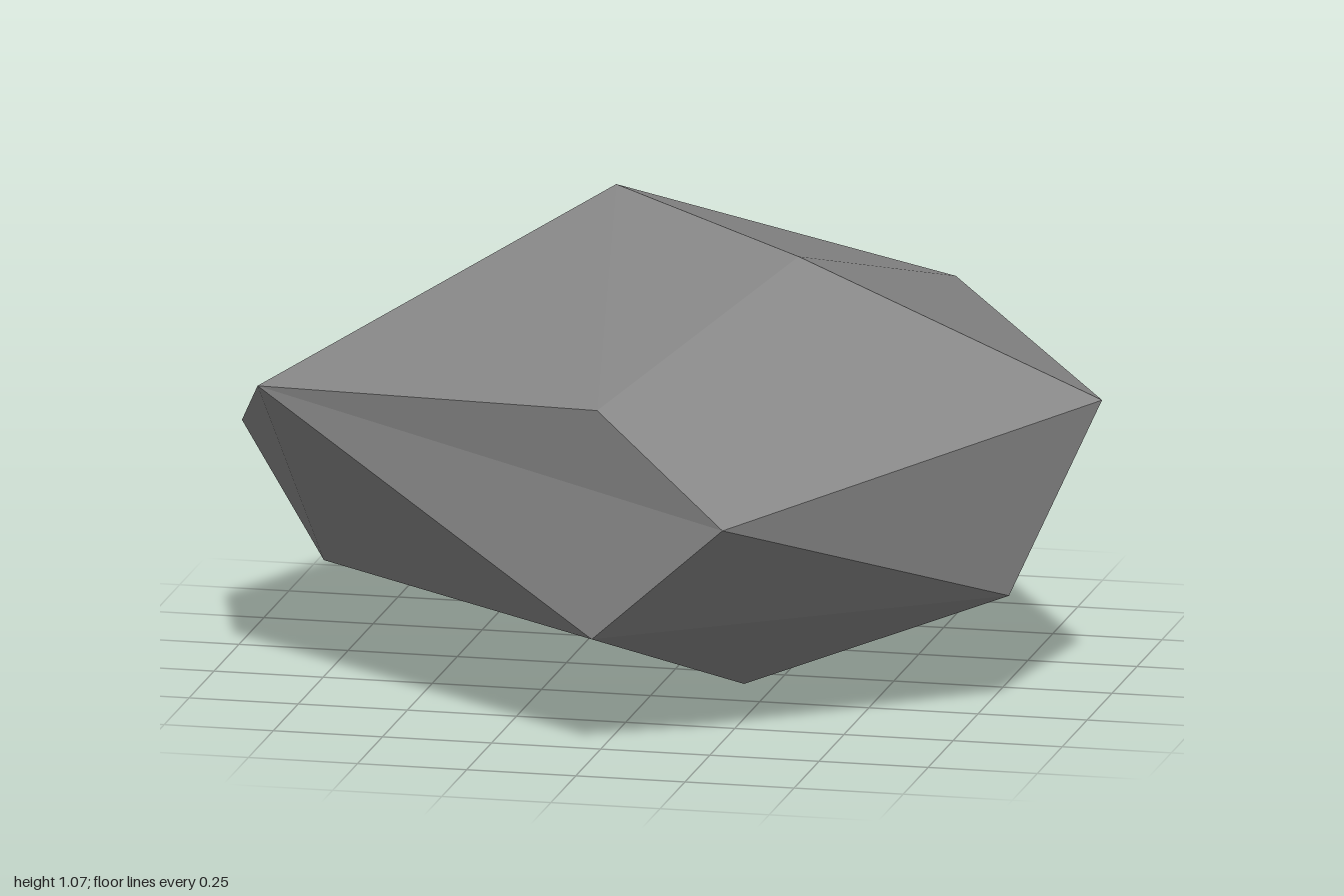
import * as THREE from 'three';

// Corners of the boulder, from the crown down to the foot
const corners = {
  // crown
  A: [-0.17, 1.07, -0.15], B: [0.33, 1.02, 0.21], C: [0.01, 0.8, 0.83],
  // widest belt, going round from the front right
  D: [-0.85, 0.72, 0.47], E: [-1, 0.51, -0.03], F: [-0.555, 0.725, -0.8],
  G: [0.43, 0.7, -0.93], H: [1, 0.7, 0.1], I: [0.32, 0.565, 0.93],
  // lower belt
  J: [0, 0.275, 0.84], K: [0.82, 0.275, 0.245], L: [-0.81, 0.2, -0.02],
  N: [0.51, 0.275, -0.72], P: [-0.22, 0.19, -0.72],
  // foot
  M: [0.18, 0, 0.1],
};

// Facets, each named by its corners counter-clockwise from outside;
// longer names are split as a fan from their first corner
const facets = [
  'ADCB', 'BCIH', 'GABH', 'AGF', 'DAFE',   // top
  'DJIC', 'DELJ', 'JMKI', 'IKH',           // front
  'HKNG', 'NPG', 'GPF', 'EFPL',            // sides and back
  'KMN', 'JLM', 'MLPN',                    // underside
];

function facetedGeometry() {
  const positions = [];
  for (const facet of facets) {
    for (let i = 1; i < facet.length - 1; i++) {
      for (const key of [facet[0], facet[i], facet[i + 1]]) positions.push(...corners[key]);
    }
  }
  const geometry = new THREE.BufferGeometry();
  geometry.setAttribute('position', new THREE.Float32BufferAttribute(positions, 3));
  geometry.computeVertexNormals(); // unshared corners give flat facets
  return geometry;
}

export function createModel() {
  const group = new THREE.Group();
  group.name = 'rock';
  const stone = new THREE.MeshStandardMaterial({ color: 0x858585 });
  stone.name = 'stone grey';
  const boulder = new THREE.Mesh(facetedGeometry(), stone);
  boulder.name = 'boulder';
  group.add(boulder);
  return group;
}
